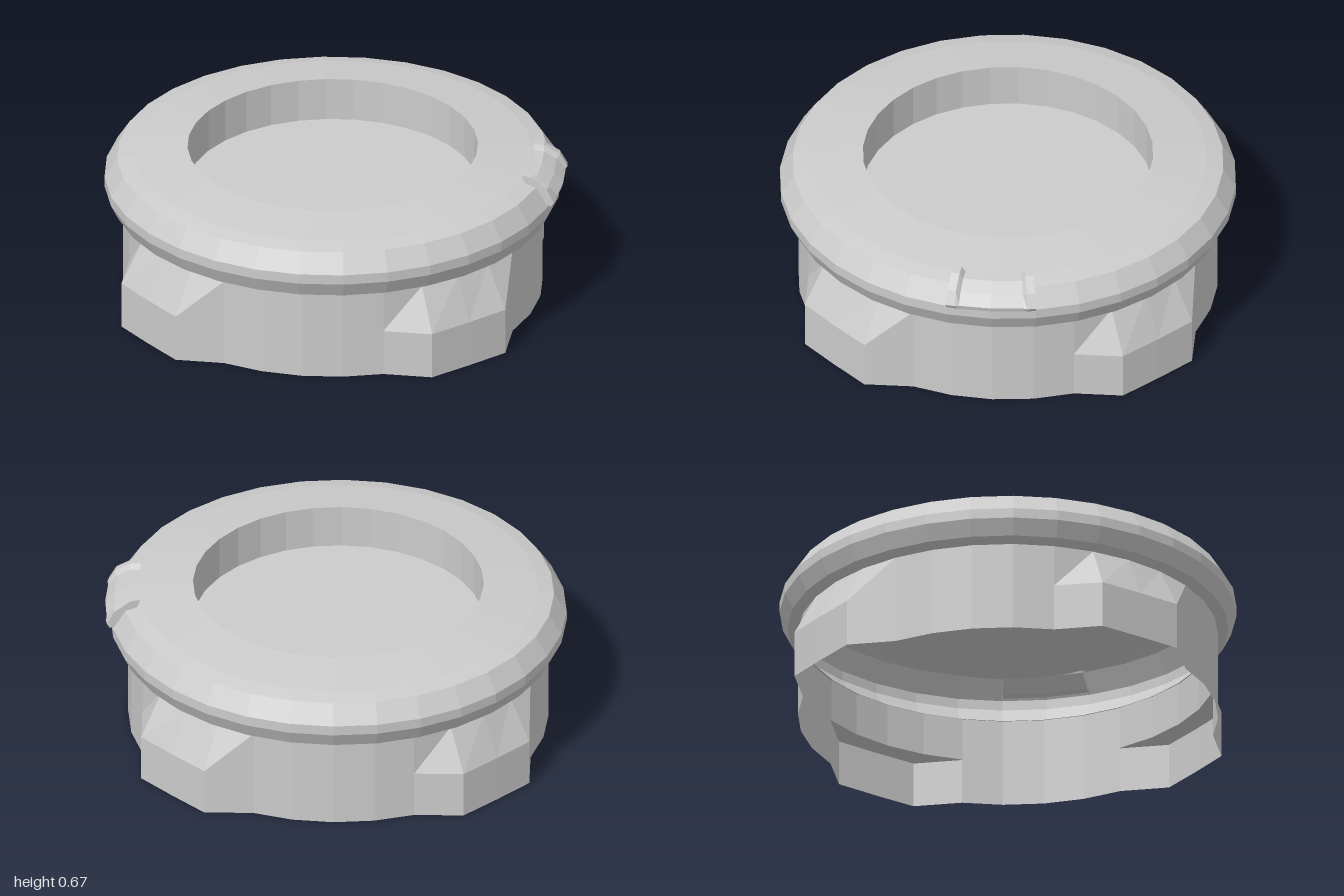
import * as THREE from 'three';

const SIDES = 32;
const STEP = (Math.PI * 2) / SIDES;
const material = new THREE.MeshStandardMaterial({ color: 0xcccccc, flatShading: true, side: THREE.DoubleSide });

function addMesh(group, name, geometry) {
  const mesh = new THREE.Mesh(geometry, material);
  mesh.name = name;
  group.add(mesh);
  return mesh;
}

// Joins successive rows of points with quads; optional closing of rows and end caps
function loft(rows, closed, caps = false) {
  const n = rows[0].length;
  const index = [];
  for (let r = 0; r < rows.length - 1; r++) {
    for (let i = 0; i < (closed ? n : n - 1); i++) {
      const a = r * n + i, b = r * n + (i + 1) % n;
      index.push(a, b, b + n, a, b + n, a + n);
    }
  }
  if (caps) {
    const last = (rows.length - 1) * n;
    for (let i = 1; i < n - 1; i++) index.push(0, i + 1, i, last, last + i, last + i + 1);
  }
  const geometry = new THREE.BufferGeometry();
  geometry.setAttribute('position', new THREE.Float32BufferAttribute(rows.flat(2), 3));
  geometry.setIndex(index);
  geometry.computeVertexNormals();
  return geometry;
}

const polar = (angle, r, y) => [Math.sin(angle) * r, y, Math.cos(angle) * r];

export function createModel() {
  const group = new THREE.Group();
  const baseR = 0.915;

  // Skirt radius: a flat-faced lug at each quarter turn
  const skirtRadius = (i) => {
    const k = ((i + 1) % 8 + 8) % 8;
    if (k === 1) return 1;
    return k === 0 || k === 2 ? 1 / Math.cos(STEP * 0.92) : baseR;
  };
  const skirtRow = (y, radius) =>
    Array.from({ length: SIDES }, (_, i) => polar(i * STEP, radius(i), y));

  // Outer skirt: upright lower band, lugs sloping back to the neck
  addMesh(group, 'skirt', loft([
    skirtRow(0, skirtRadius),
    skirtRow(0.21, skirtRadius),
    skirtRow(0.4, () => baseR),
  ], true));

  // Flat pocket roof and inner wall behind each lug
  for (let q = 0; q < 4; q++) {
    const span = [-2, -1, 0, 1, 2].map((k) => q * 8 + k);
    const row = (y, radius) => span.map((i) => polar(i * STEP, radius(i), y));
    addMesh(group, 'lugPocket' + (q + 1), loft([
      row(0.205, skirtRadius),
      row(0.205, () => baseR - 0.005),
      row(0.4, () => baseR - 0.005),
    ], false));
  }

  // Hollow rounded rim with the well wall and floor
  const rimProfile = [
    [0.9, 0.395], [0.96, 0.42], [0.995, 0.49], [0.995, 0.535],
    [0.94, 0.62], [0.87, 0.637], [0.633, 0.667], [0.633, 0.472],
  ].map(([r, y]) => new THREE.Vector2(r, y));
  addMesh(group, 'rim', new THREE.LatheGeometry(rimProfile, SIDES));

  const floor = addMesh(group, 'wellFloor', new THREE.CircleGeometry(0.633, SIDES));
  floor.rotation.x = -Math.PI / 2;
  floor.position.y = 0.472;

  // Clip over the rim shoulder, with a raised ridge at each end
  const section = (raise) => [
    [0.9, 0.6], [0.875, 0.645 + raise], [0.92, 0.64 + raise],
    [0.975 + raise * 0.6, 0.605 + raise * 0.6], [1.015 + raise * 0.3, 0.56], [1.01, 0.54], [0.96, 0.55],
  ];
  const clipStations = [
    [-11.2, 0.024], [-9, 0.024], [-8, 0], [0, 0], [8, 0], [9, 0.024], [11.2, 0.024],
  ];
  addMesh(group, 'rimClip', loft(clipStations.map(([deg, raise]) =>
    section(raise).map(([r, y]) => polar(THREE.MathUtils.degToRad(135 + deg), r, y))), true, true));

  return group;
}
